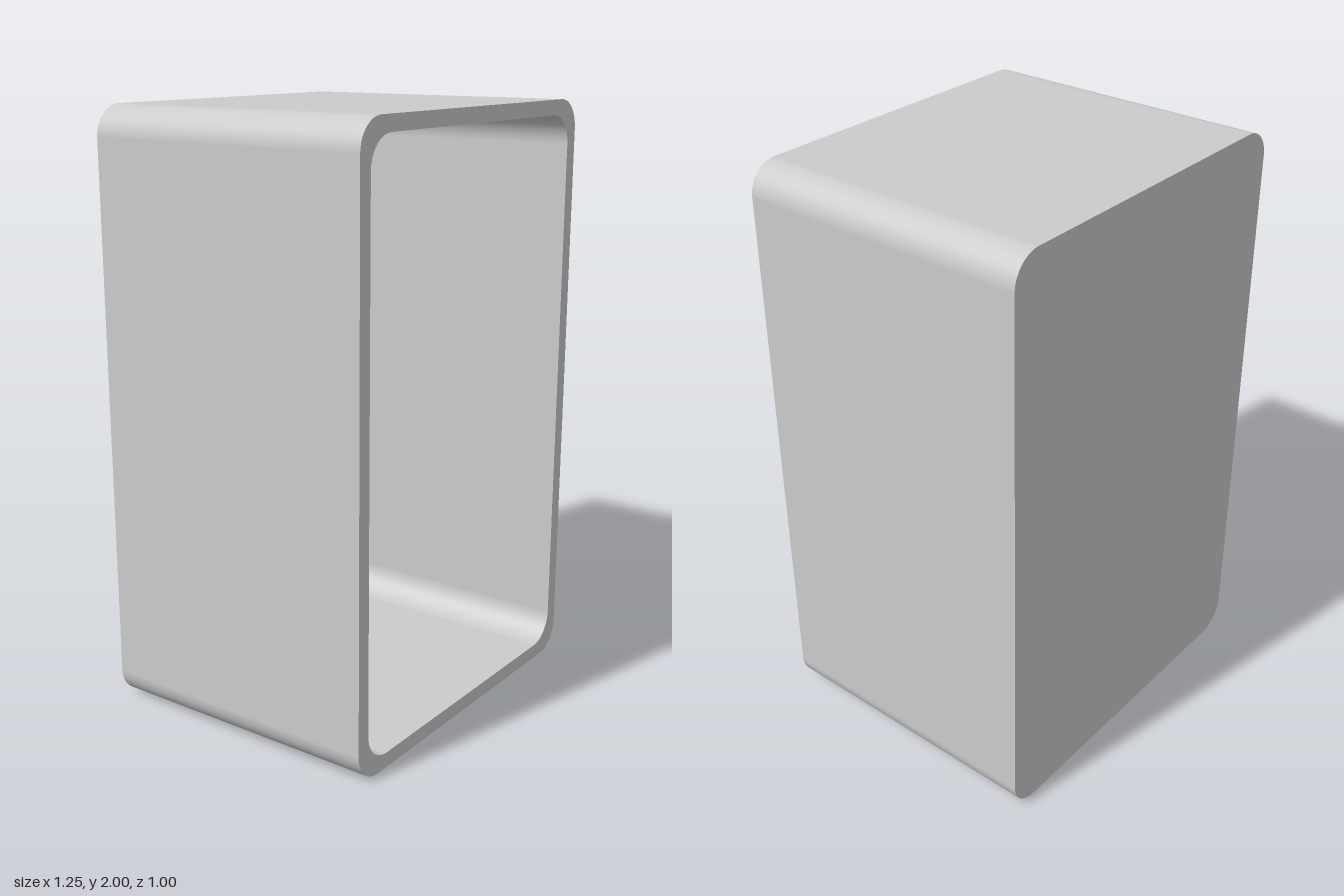
import * as THREE from 'three';

const HALF_W = 0.6235, HEIGHT = 2, HALF_D = 0.5;
const WALL = 0.05, BACK = 0.1, RADIUS = 0.1, STEPS = 16;

// Counter-clockwise rounded rectangle, inset from the outer size, with outward normals
function roundedLoop(inset) {
  const loop = [];
  const cx = HALF_W - inset - RADIUS, cy = HEIGHT / 2 - inset - RADIUS;
  [[1, 1], [-1, 1], [-1, -1], [1, -1]].forEach(([sx, sy], corner) => {
    for (let i = 0; i <= STEPS; i++) {
      const a = (corner + i / STEPS) * Math.PI / 2;
      const n = new THREE.Vector2(Math.cos(a), Math.sin(a));
      const p = new THREE.Vector2(sx * cx, HEIGHT / 2 + sy * cy).addScaledVector(n, RADIUS);
      loop.push({ p, n });
    }
  });
  return loop;
}

// Smooth tube wall along z; side = 1 faces outward, -1 faces inward
function wallGeometry(loop, zFront, zBack, side) {
  const pos = [], nor = [], idx = [];
  loop.forEach(({ p, n }, i) => {
    for (const z of [zFront, zBack]) {
      pos.push(p.x, p.y, z);
      nor.push(n.x * side, n.y * side, 0);
    }
    const a = 2 * i, b = 2 * ((i + 1) % loop.length);
    if (side > 0) idx.push(a, a + 1, b, b, a + 1, b + 1);
    else idx.push(a, b, a + 1, b, b + 1, a + 1);
  });
  const g = new THREE.BufferGeometry();
  g.setAttribute('position', new THREE.Float32BufferAttribute(pos, 3));
  g.setAttribute('normal', new THREE.Float32BufferAttribute(nor, 3));
  g.setIndex(idx);
  return g;
}

export function createModel() {
  const group = new THREE.Group();
  group.name = 'openBox';
  const material = new THREE.MeshStandardMaterial({ color: 0xcccccc });
  const add = (name, geometry) => {
    const mesh = new THREE.Mesh(geometry, material);
    mesh.name = name;
    group.add(mesh);
  };

  const outer = roundedLoop(0), inner = roundedLoop(WALL);
  const points = (loop) => loop.map(({ p }) => p);
  const floorZ = -HALF_D + BACK;

  // Outer and inner walls
  add('outerWall', wallGeometry(outer, HALF_D, -HALF_D, 1));
  add('innerWall', wallGeometry(inner, HALF_D, floorZ, -1));

  // Front rim around the opening
  const rim = new THREE.Shape(points(outer));
  rim.holes.push(new THREE.Path(points(inner)));
  add('frontRim', new THREE.ShapeGeometry(rim).translate(0, 0, HALF_D));

  // Back panel, inside and outside faces
  add('backPanelInside', new THREE.ShapeGeometry(new THREE.Shape(points(inner))).translate(0, 0, floorZ));
  add('backPanelOutside', new THREE.ShapeGeometry(new THREE.Shape(points(outer))).rotateY(Math.PI).translate(0, 0, -HALF_D));

  return group;
}
